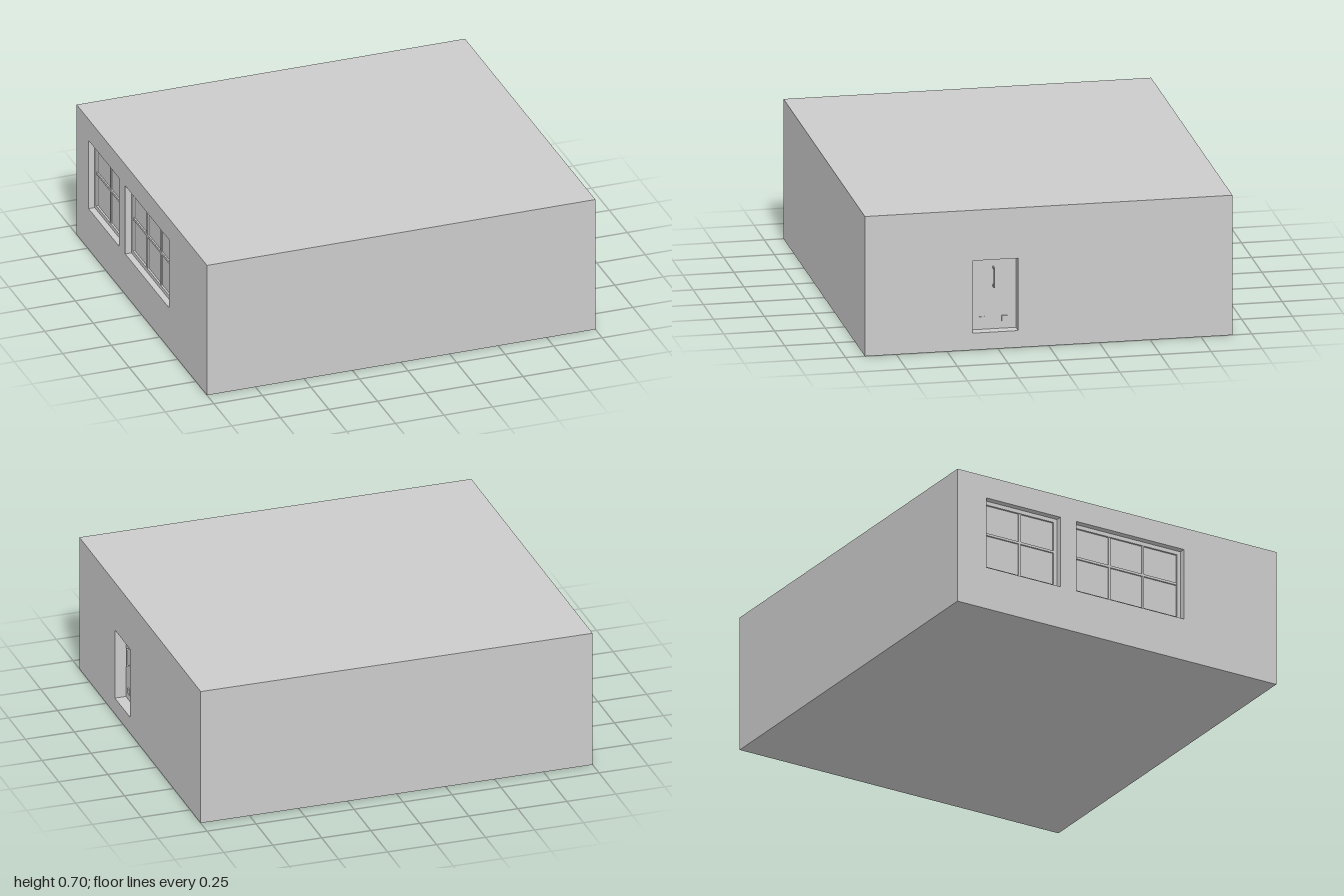
import * as THREE from 'three';

const H = 0.705, D = 1.81; // building height and depth; its width is 2
const grey = new THREE.MeshStandardMaterial({ color: 0xcccccc, flatShading: true });

function add(parent, name, geometry) {
  const mesh = new THREE.Mesh(geometry, grey);
  mesh.name = name;
  parent.add(mesh);
  return mesh;
}

// box given by its limits
function box(parent, name, u0, u1, y0, y1, w0, w1) {
  const g = new THREE.BoxGeometry(u1 - u0, y1 - y0, w1 - w0);
  g.translate((u0 + u1) / 2, (y0 + y1) / 2, (w0 + w1) / 2);
  return add(parent, name, g);
}

// pocket sunk into a wall: an inward-facing box without its outer face
function recess(parent, name, { u0, u1, y0, y1, depth }) {
  const g = new THREE.BoxGeometry(u1 - u0, y1 - y0, depth);
  g.translate((u0 + u1) / 2, (y0 + y1) / 2, 1 - depth / 2);
  const index = Array.from(g.index.array);
  g.setIndex([...index.slice(0, 24), ...index.slice(30)].reverse());
  const flat = g.toNonIndexed();
  flat.computeVertexNormals();
  add(parent, name, flat);
}

// side wall with openings, made facing +z at distance 1, then turned to its side
function sideWall(parent, name, turn, openings) {
  const side = new THREE.Group();
  side.name = name;
  side.rotation.y = turn;
  parent.add(side);
  const rect = (path, u0, u1, y0, y1) =>
    path.moveTo(u0, y0).lineTo(u1, y0).lineTo(u1, y1).lineTo(u0, y1).closePath();
  const shape = rect(new THREE.Shape(), -D / 2, D / 2, 0, H);
  for (const o of openings) {
    shape.holes.push(rect(new THREE.Path(), o.u0, o.u1, o.y0, o.y1));
    recess(side, o.name + 'Recess', o);
  }
  add(side, name + 'Face', new THREE.ShapeGeometry(shape).translate(0, 0, 1));
  return side;
}

// window frame with glazing bars standing on the recessed pane
function windowBars(side, { name, u0, u1, y0, y1, depth, columns }) {
  const frame = new THREE.Group();
  frame.name = name + 'Frame';
  side.add(frame);
  const back = 1 - depth, front = back + 0.01, t = 0.02, bar = 0.006;
  box(frame, 'bottomRail', u0, u1, y0, y0 + t, back, front);
  box(frame, 'topRail', u0, u1, y1 - t, y1, back, front);
  box(frame, 'stile', u0, u0 + t, y0 + t, y1 - t, back, front);
  box(frame, 'stile', u1 - t, u1, y0 + t, y1 - t, back, front);
  const mid = (y0 + y1) / 2 + 0.01;
  box(frame, 'crossBar', u0 + t, u1 - t, mid - bar, mid + bar, back, front - 0.002);
  for (let i = 1; i < columns; i++) {
    const u = u0 + t + (u1 - u0 - 2 * t) * i / columns;
    box(frame, 'uprightBar', u - bar, u + bar, y0 + t, y1 - t, back, front - 0.003);
  }
}

export function createModel() {
  const model = new THREE.Group();
  model.name = 'building';

  // roof, floor, front and back walls
  const shell = new THREE.BoxGeometry(2, H, D).translate(0, H / 2, 0);
  shell.setIndex(Array.from(shell.index.array).slice(12));
  add(model, 'shell', shell);

  // double door side
  const door = { name: 'door', u0: -0.375, u1: -0.15, y0: 0.085, y1: 0.45, depth: 0.062 };
  const doorSide = sideWall(model, 'doorWall', Math.PI / 2, [door]);
  const back = 1 - door.depth, split = (door.u0 + door.u1) / 2;
  for (const s of [-1, 1]) {
    const a = split + s * 0.002, b = split + s * 0.1125;
    box(doorSide, 'doorLeaf', Math.min(a, b), Math.max(a, b), door.y0, door.y1, back, back + 0.006);
    const c = split + s * 0.056;
    box(doorSide, 'floorBolt', c - 0.014, c + 0.014, 0.122, 0.15, back, back + 0.012);
  }
  // slim pull handle on the meeting line
  box(doorSide, 'handleBar', split - 0.003, split + 0.003, 0.3, 0.4, 0.972, 0.98);
  for (const y of [0.3, 0.392])
    box(doorSide, 'handleBracket', split - 0.003, split + 0.003, y, y + 0.008, back, 0.972);

  // window side
  const windows = [
    { name: 'smallWindow', u0: -0.74, u1: -0.32, y0: 0.22, y1: 0.59, depth: 0.042, columns: 2 },
    { name: 'largeWindow', u0: -0.23, u1: 0.38, y0: 0.22, y1: 0.59, depth: 0.042, columns: 3 },
  ];
  const windowSide = sideWall(model, 'windowWall', -Math.PI / 2, windows);
  windows.forEach((w) => windowBars(windowSide, w));

  return model;
}
